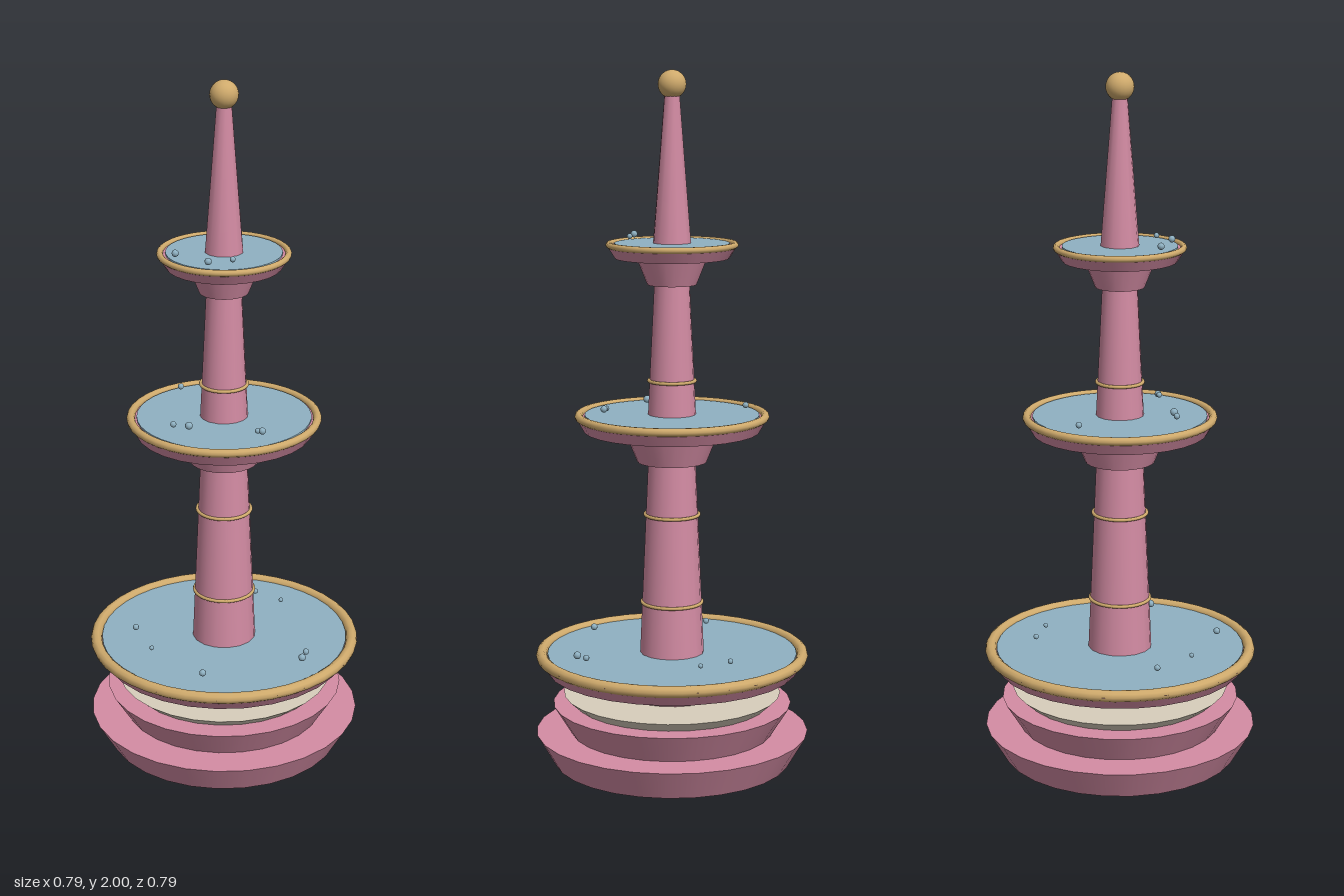
import * as THREE from 'three';

const mat = (name, color) => {
  const m = new THREE.MeshStandardMaterial({ color });
  m.name = name;
  return m;
};

export function createModel() {
  const fountain = new THREE.Group();
  fountain.name = 'tieredFountain';
  const pink = mat('rosePink', 0xd48ca4);
  const gold = mat('gold', 0xcfaa6c);
  const cream = mat('cream', 0xd8cebc);
  const blue = mat('waterBlue', 0x8fb1c2);

  const add = (name, geometry, material, y, parent = fountain, x = 0, z = 0) => {
    const mesh = new THREE.Mesh(geometry, material);
    mesh.name = name;
    mesh.position.set(x, y, z);
    parent.add(mesh);
    return mesh;
  };
  // Tapered round block between two heights
  const cone = (name, y0, y1, r0, r1, sides, material = pink, parent = fountain) =>
    add(name, new THREE.CylinderGeometry(r1, r0, y1 - y0, sides), material, (y0 + y1) / 2, parent);
  // Horizontal gold ring
  const ring = (name, y, radius, tube, parent = fountain) =>
    add(name, new THREE.TorusGeometry(radius, tube, 10, 40).rotateX(Math.PI / 2), gold, y, parent);

  // Stepped base
  cone('baseStepLower', 0, 0.09, 0.345, 0.397, 28);
  cone('baseStepUpper', 0.09, 0.175, 0.295, 0.347, 28);
  cone('baseSlab', 0.175, 0.205, 0.283, 0.316, 28, cream);

  // Basins: stem, bowl, gold rim, water and droplets [x, z, radius]
  const basins = [
    { name: 'lower', y: [0.205, 0.275, 0.32], stem: [0.155, 0.2], bowl: [0.363, 0.396],
      rim: [0.38, 0.0165], water: 0.363,
      drops: [[0.273, 0.087, 0.009], [0.271, 0.124, 0.011], [0.02, 0.291, 0.01], [-0.165, 0.19, 0.007],
        [-0.25, 0.08, 0.009], [0.12, -0.21, 0.007], [0.03, -0.245, 0.008]] },
    { name: 'middle', y: [0.89, 0.98, 1.023], stem: [0.1, 0.136], bowl: [0.252, 0.277],
      rim: [0.267, 0.0118], water: 0.25,
      drops: [[-0.17, -0.133, 0.009], [-0.105, 0.15, 0.009], [-0.06, 0.148, 0.011],
        [0.148, 0.128, 0.01], [0.135, 0.13, 0.008]] },
    { name: 'upper', y: [1.4, 1.475, 1.513], stem: [0.07, 0.1], bowl: [0.162, 0.186],
      rim: [0.179, 0.009], water: 0.163,
      drops: [[-0.11, 0.102, 0.01], [-0.003, 0.146, 0.01], [0.056, 0.11, 0.008]] },
  ];
  for (const b of basins) {
    const g = new THREE.Group();
    g.name = b.name + 'Basin';
    fountain.add(g);
    const [y0, y1, y2] = b.y;
    cone('stem', y0, y1, ...b.stem, 24, pink, g);
    cone('bowl', y1, y2, ...b.bowl, 28, pink, g);
    ring('rim', y2, ...b.rim, g);
    add('water', new THREE.CylinderGeometry(b.water, b.water, 0.006, 40), blue, y2 + 0.002, g);
    for (const [x, z, r] of b.drops) {
      add('droplet', new THREE.SphereGeometry(r, 10, 8), blue, y2 + b.rim[1] + 0.012, g, x, z);
    }
  }

  // Columns with gold bands
  cone('lowerColumn', 0.3, 0.9, 0.094, 0.068, 16);
  cone('upperColumn', 1.0, 1.41, 0.07, 0.05, 16);
  ring('columnBand', 0.475, 0.087, 0.005);
  ring('columnBand', 0.735, 0.078, 0.005);
  ring('columnBand', 1.125, 0.066, 0.005);

  // Spire and finial
  cone('spire', 1.5, 1.94, 0.056, 0.021, 12);
  add('finial', new THREE.SphereGeometry(0.04, 20, 14), gold, 1.96);

  return fountain;
}
